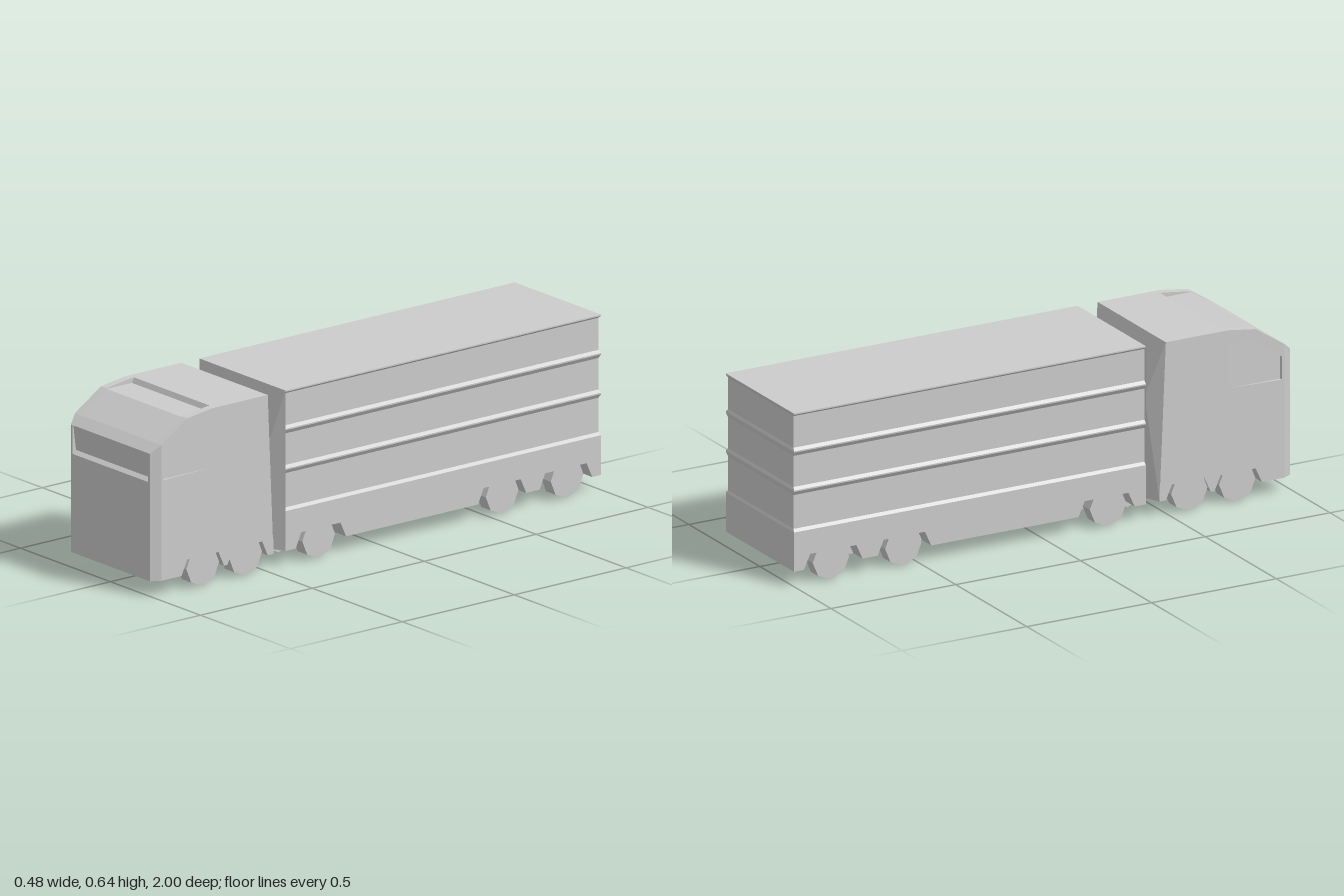
import * as THREE from 'three';
import { ConvexGeometry } from 'three/addons/geometries/ConvexGeometry.js';

const material = new THREE.MeshStandardMaterial({ color: 0xcccccc, flatShading: true });
const HALF = 0.24, FLOOR = 0.055, ARCH = 0.11, ROOF = 0.64;

// half width of the body: the nose corners are chamfered
const bodyWidth = z => HALF - 0.02 * Math.max(0, z - 0.965) / 0.035;
// the side glass sinks in towards the front
const glassWidth = z => HALF - 0.012 * (z - 0.74) / 0.215;

function addMesh(parent, name, geometry) {
  const flat = geometry.index ? geometry.toNonIndexed() : geometry;
  flat.computeVertexNormals();
  const mesh = new THREE.Mesh(flat, material);
  mesh.name = name;
  parent.add(mesh);
  return mesh;
}

// a [z, y] outline extruded from x0 to x1, then limited to the given half width
function slab(parent, name, outline, x0, x1, width = bodyWidth, hole = null) {
  const toPoints = list => list.map(p => new THREE.Vector2(...p));
  const shape = new THREE.Shape(toPoints(outline));
  if (hole) shape.holes.push(new THREE.Path(toPoints(hole)));
  const geometry = new THREE.ExtrudeGeometry(shape, { depth: x1 - x0, bevelEnabled: false });
  geometry.rotateY(-Math.PI / 2).translate(x1, 0, 0);
  const pos = geometry.attributes.position;
  for (let i = 0; i < pos.count; i++) {
    const w = width(pos.getZ(i));
    pos.setX(i, THREE.MathUtils.clamp(pos.getX(i), -w, w));
  }
  return addMesh(parent, name, geometry);
}

function slabPair(parent, name, outline, inner, outer, width, hole) {
  slab(parent, name + 'Left', outline, inner, outer, width, hole);
  slab(parent, name + 'Right', outline, -outer, -inner, width, hole);
}

function buildCab() {
  const cab = new THREE.Group();
  cab.name = 'cab';
  // middle of the cab with windscreen and roof recesses
  slab(cab, 'cabCentre', [
    [1, ARCH], [1, 0.415], [0.985, 0.427], [0.997, 0.52], [1, 0.52], [0.965, 0.55],
    [0.85, 0.623], [0.735, 0.622], [0.725, ROOF], [0.49, ROOF], [0.467, ARCH],
  ], -0.21, 0.21);
  // chamfered front corners
  slabPair(cab, 'frontCorner', [[1, ARCH], [1, 0.52], [0.965, 0.55], [0.965, ARCH]], 0.21, HALF);
  // side walls with sunken windows
  const window = [[0.955, 0.42], [0.955, 0.505], [0.85, 0.58], [0.74, 0.595], [0.74, 0.425]];
  slabPair(cab, 'sideWall', [
    [0.965, ARCH], [0.965, 0.55], [0.85, 0.625], [0.74, ROOF], [0.49, ROOF], [0.467, ARCH],
  ], 0.21, HALF, bodyWidth, window);
  slabPair(cab, 'sideWindow', window, 0.21, HALF, glassWidth);
  return cab;
}

// wedge from a full-width frame down to the narrow neck between cab and trailer
function neckWedge(parent, name, zBottom, zTop) {
  const points = [];
  for (const s of [-1, 1]) {
    points.push(
      new THREE.Vector3(s * HALF, FLOOR, zBottom), new THREE.Vector3(s * HALF, ROOF, zTop),
      new THREE.Vector3(s * 0.178, FLOOR, 0.44), new THREE.Vector3(s * 0.178, 0.43, 0.44));
  }
  addMesh(parent, name, new ConvexGeometry(points));
}

// trailer box: a stack of [y, inset] rings giving rails and recessed panels
function buildTrailer(parent) {
  const rings = [
    [ARCH, 0], [0.2, 0], [0.21, 0.01], [0.335, 0.01], [0.35, 0], [0.355, 0], [0.365, 0.01],
    [0.48, 0.01], [0.495, 0], [0.5, 0], [0.51, 0.01], [0.627, 0.01], [0.635, 0], [ROOF, 0],
  ];
  const n = rings.length - 1;
  const geometry = new THREE.BoxGeometry(2, 1, 2, 1, n, 1);
  const pos = geometry.attributes.position;
  for (let i = 0; i < pos.count; i++) {
    const [y, inset] = rings[Math.round((pos.getY(i) + 0.5) * n)];
    const z = pos.getZ(i) > 0 ? 0.41 : -1 + inset * 0.4;
    pos.setXYZ(i, pos.getX(i) * (HALF - inset), y, z);
  }
  addMesh(parent, 'trailerBox', geometry);
}

// lower body: belly plus side skirts left between the wheel arches
function buildSkirts(parent) {
  const belly = new THREE.BoxGeometry(0.35, ARCH - FLOOR, 2);
  belly.translate(0, (ARCH + FLOOR) / 2, 0);
  addMesh(parent, 'belly', belly);
  const slope = 0.025;
  const skirt = (front, back, frontSlope, backSlope) => slabPair(parent, 'skirt', [
    [front, FLOOR], [front + frontSlope, ARCH], [back - backSlope, ARCH], [back, FLOOR],
  ], 0.175, HALF);
  skirt(1, 0.965, 0, 0);
  skirt(0.965, 0.875, 0, slope);
  skirt(0.685, 0.67, slope, slope);
  skirt(0.49, 0.465, slope, 0);
  skirt(0.41, 0.365, 0, slope);
  skirt(0.14, -0.45, slope, slope);
  skirt(-0.665, -0.725, slope, slope);
  skirt(-0.96, -1, slope, 0);
}

// eight-sided wheels standing on a corner
function wheelPair(parent, name, x, y, z, width) {
  for (const s of [-1, 1]) {
    const geometry = new THREE.CylinderGeometry(0.073, 0.073, width, 8);
    geometry.rotateZ(Math.PI / 2);
    const wheel = addMesh(parent, name + (s > 0 ? 'Left' : 'Right'), geometry);
    wheel.position.set(s * x, y, z);
  }
}

export function createModel() {
  const truck = new THREE.Group();
  truck.name = 'truck';
  truck.add(buildCab());
  neckWedge(truck, 'cabRear', 0.465, 0.49);
  neckWedge(truck, 'trailerFront', 0.41, 0.41);
  buildTrailer(truck);
  buildSkirts(truck);
  for (const z of [0.778, 0.586, 0.26, -0.56, -0.85]) wheelPair(truck, 'wheel', 0.211, 0.073, z, 0.052);
  // small supports under the belly
  for (const z of [0.38, -0.13]) wheelPair(truck, 'support', 0.133, 0.099, z, 0.062);
  return truck;
}
